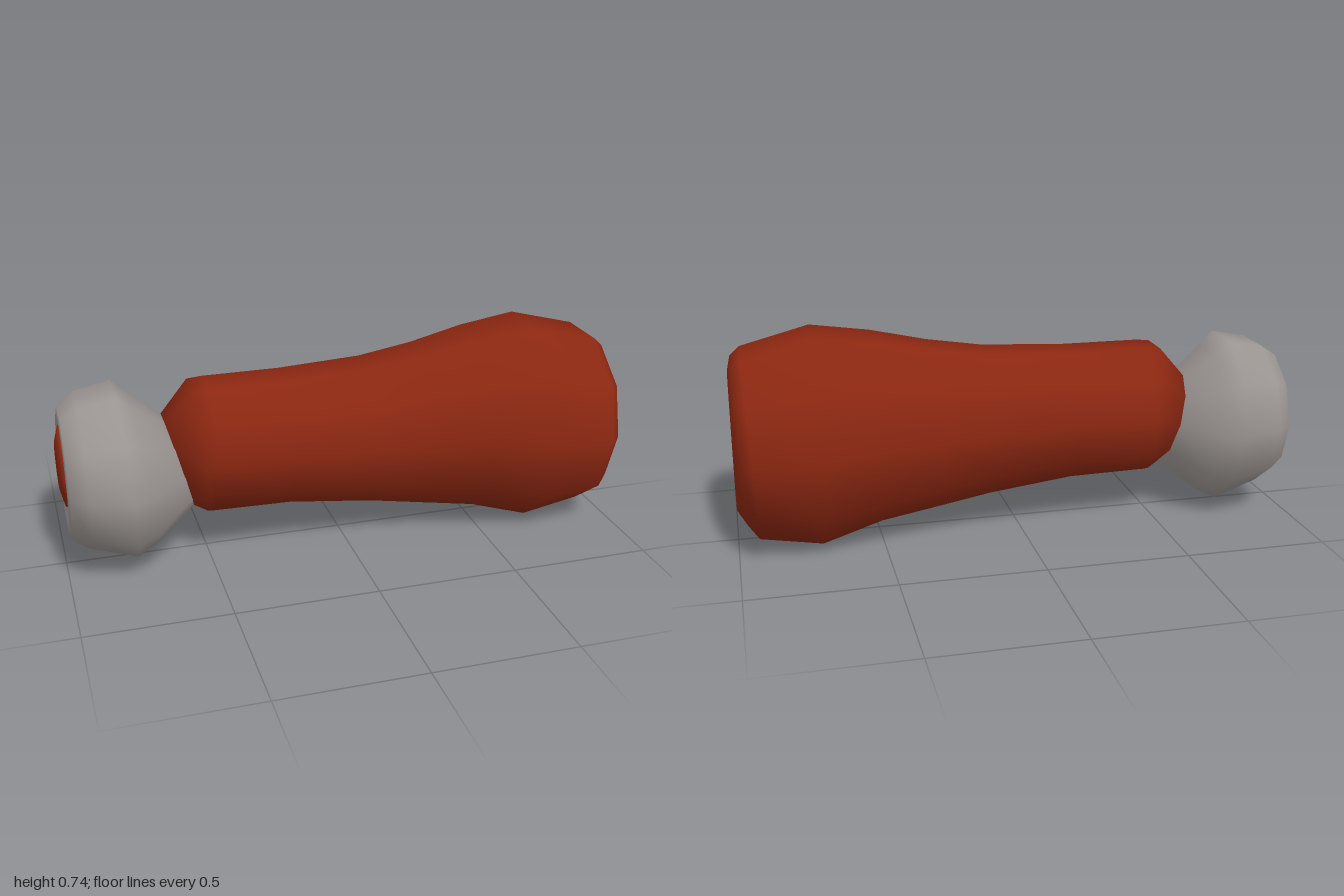
import * as THREE from 'three';

const SIDES = 10;
const red = new THREE.MeshStandardMaterial({ color: 0x8b2711 });
red.name = 'red handle';
const grey = new THREE.MeshStandardMaterial({ color: 0x9b9592 });
grey.name = 'grey ball';

// Lofts ten-sided rings along x; each section is [x, top, bottom, half depth, lean].
function loft(name, material, sections) {
  const pos = [], index = [];
  const stretch = 1 / Math.cos(Math.PI / SIDES);
  for (const [x, top, bottom, depth, lean = 0] of sections) {
    const cy = (top + bottom) / 2, ry = ((top - bottom) / 2) * stretch;
    for (let i = 0; i < SIDES; i++) {
      const a = (i / SIDES) * Math.PI * 2;
      const dy = ry * Math.sin(a);
      pos.push(x + lean * dy, cy + dy, depth * Math.cos(a));
    }
  }
  for (let s = 0; s < sections.length - 1; s++) {
    for (let i = 0; i < SIDES; i++) {
      const a = s * SIDES + i, b = s * SIDES + (i + 1) % SIDES;
      index.push(a, a + SIDES, b, b, a + SIDES, b + SIDES);
    }
  }
  // Closing caps
  const last = (sections.length - 1) * SIDES;
  for (const [ring, s, start] of [[0, sections[0], true], [last, sections[sections.length - 1], false]]) {
    const c = pos.length / 3;
    pos.push(s[0], (s[1] + s[2]) / 2, 0);
    for (let i = 0; i < SIDES; i++) {
      const a = ring + i, b = ring + (i + 1) % SIDES;
      index.push(c, start ? a : b, start ? b : a);
    }
  }
  const geo = new THREE.BufferGeometry();
  geo.setAttribute('position', new THREE.Float32BufferAttribute(pos, 3));
  geo.setIndex(index);
  geo.computeVertexNormals();
  const mesh = new THREE.Mesh(geo, material);
  mesh.name = name;
  return mesh;
}

export function createModel() {
  const group = new THREE.Group();
  group.name = 'handle with ball end';

  // Flared grip with a dished butt
  group.add(loft('grip', red, [
    [-0.59, 0.51, 0.19, 0.15, -0.25],
    [-0.515, 0.622, 0.166, 0.21, -0.07],
    [-0.48, 0.626, 0.165, 0.218],
    [-0.2, 0.626, 0.16, 0.222],
    [0.1, 0.64, 0.125, 0.236],
    [0.3, 0.67, 0.092, 0.26],
    [0.5, 0.712, 0.063, 0.31],
    [0.71, 0.74, 0, 0.345],
    [0.94, 0.678, 0.036, 0.325, 0.04],
    [0.975, 0.648, 0.085, 0.295, 0.04],
    [0.998, 0.6, 0.14, 0.235],
    [0.998, 0.58, 0.155, 0.21],
    [0.975, 0.567, 0.165, 0.19],
    [0.97, 0.555, 0.175, 0.182],
  ]));

  // Faceted ball with a dished outer face
  group.add(loft('ball', grey, [
    [-0.96, 0.52, 0.21, 0.14],
    [-0.985, 0.55, 0.16, 0.19],
    [-0.98, 0.572, 0.125, 0.225],
    [-0.92, 0.612, 0.09, 0.28],
    [-0.775, 0.637, 0.035, 0.292, -0.06],
    [-0.71, 0.59, 0.075, 0.26, -0.12],
    [-0.58, 0.5, 0.19, 0.148, -0.25],
  ]));

  // Rod end showing through the ball
  group.add(loft('rodEnd', red, [
    [-1, 0.46, 0.3, 0.09],
    [-0.985, 0.51, 0.24, 0.135],
    [-0.9, 0.51, 0.24, 0.135],
  ]));
  return group;
}
